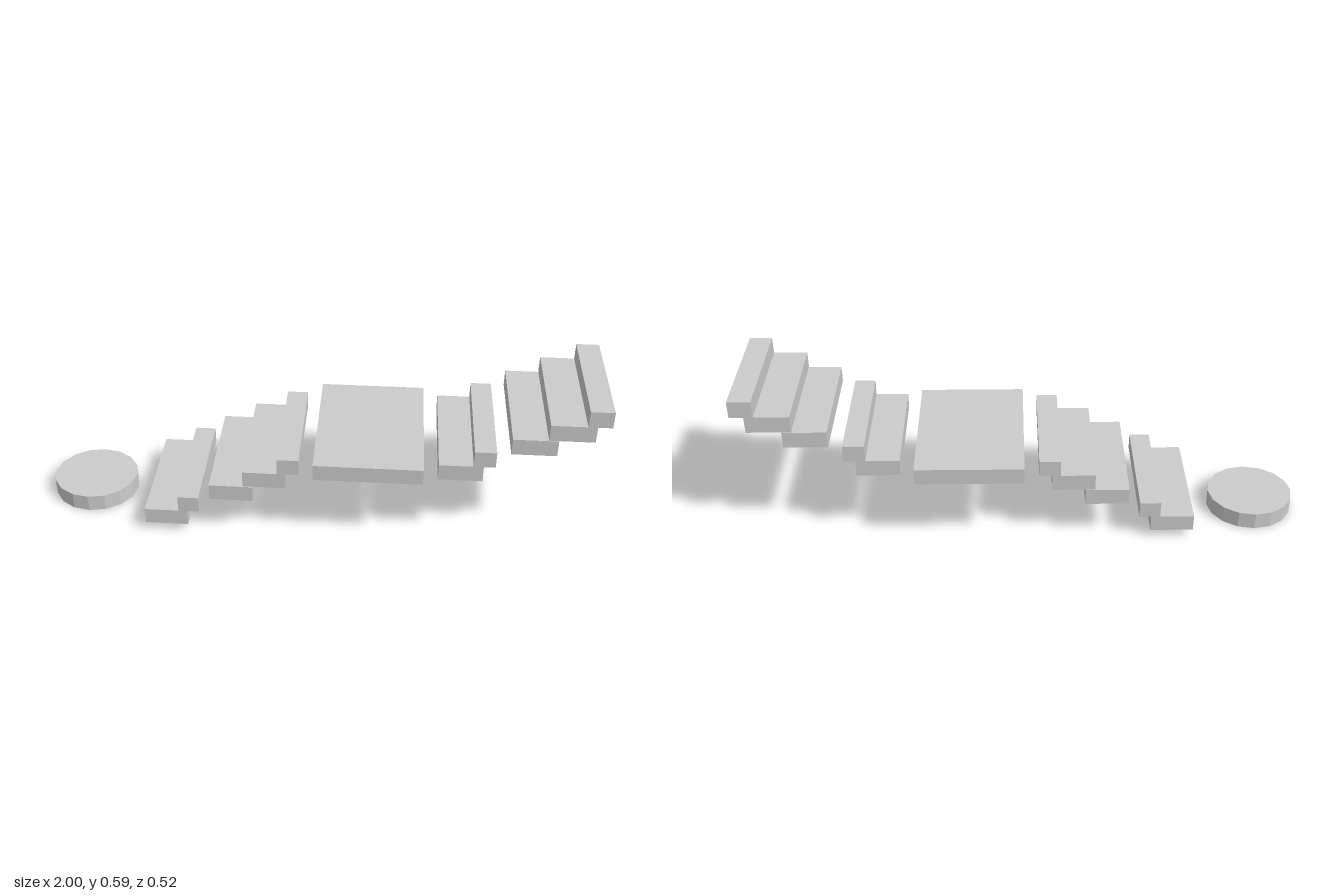
import * as THREE from 'three';

const material = new THREE.MeshStandardMaterial({ color: 0xcccccc, flatShading: true });

// Box given by its extents along each axis
function slab(name, [x0, x1], [y0, y1], [z0, z1]) {
  const mesh = new THREE.Mesh(new THREE.BoxGeometry(x1 - x0, y1 - y0, z1 - z0), material);
  mesh.position.set((x0 + x1) / 2, (y0 + y1) / 2, (z0 + z1) / 2);
  mesh.name = name;
  return mesh;
}

// Flight of overlapping treads; each entry is [left x, right x, bottom y]
function flight(name, treads) {
  const group = new THREE.Group();
  group.name = name;
  treads.forEach(([x0, x1, y], i) =>
    group.add(slab(`tread${i + 1}`, [x0, x1], [y, y + 0.061], [-0.207, 0.228])));
  return group;
}

export function createModel() {
  const model = new THREE.Group();
  model.name = 'steppedPath';

  // Round stepping stone at the bottom
  const disc = new THREE.Mesh(new THREE.CylinderGeometry(0.156, 0.156, 0.063, 16), material);
  disc.name = 'roundStone';
  disc.scale.z = 0.96;
  disc.position.set(-0.844, 0.0315, -0.013);
  model.add(disc);

  // Lower flights
  model.add(flight('bottomFlight', [[-0.609, -0.454, 0.032], [-0.486, -0.411, 0.093]]));
  model.add(flight('lowerFlight', [[-0.37, -0.214, 0.154], [-0.248, -0.095, 0.218], [-0.125, -0.049, 0.279]]));

  // Wide landing
  model.add(slab('landing', [0.003, 0.385], [0.286, 0.346], [-0.259, 0.26]));

  // Upper flights
  model.add(flight('upperFlight', [[0.436, 0.59, 0.288], [0.555, 0.63, 0.349]]));
  model.add(flight('topFlight', [[0.677, 0.831, 0.409], [0.797, 0.951, 0.472], [0.919, 1, 0.533]]));

  return model;
}
